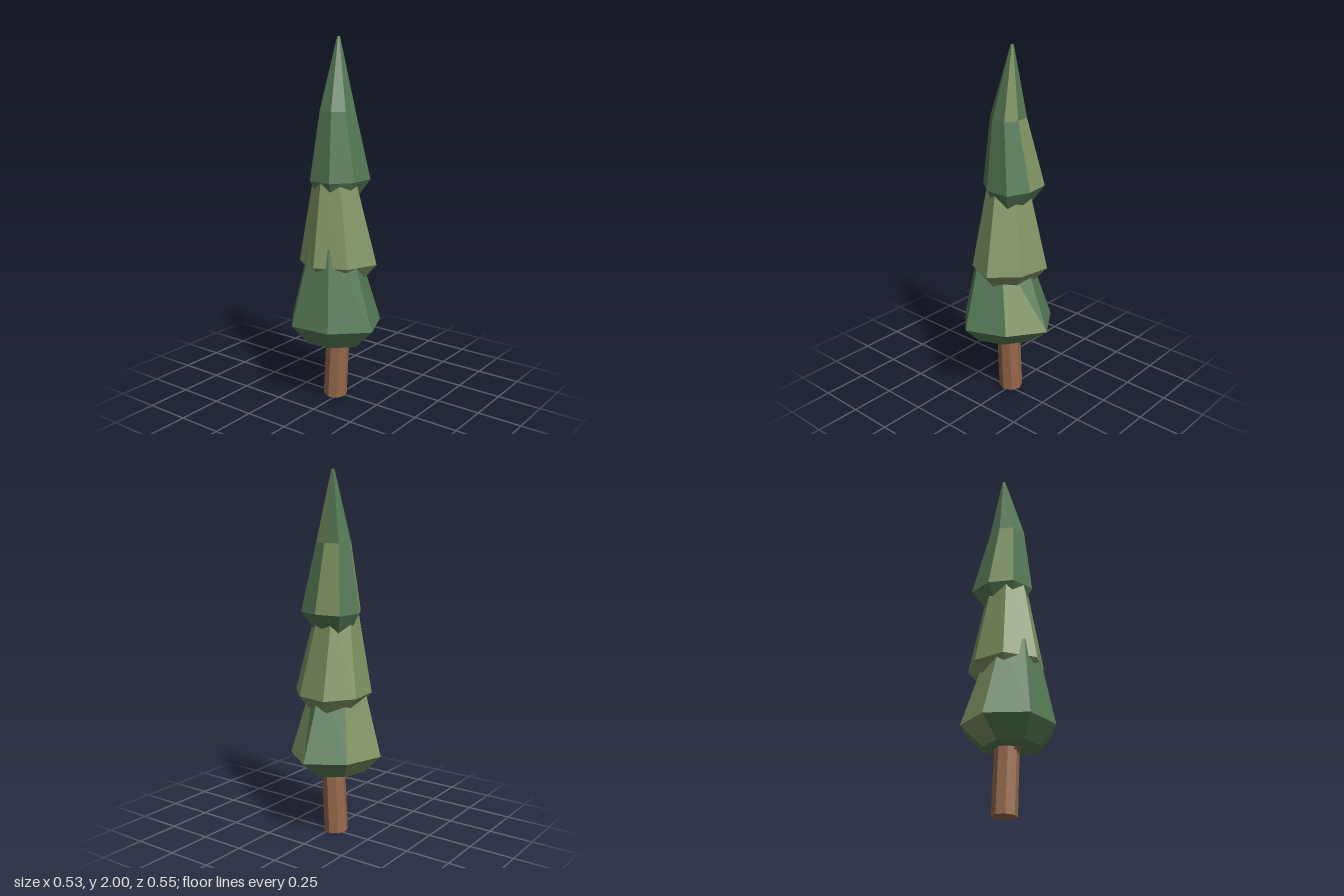
import * as THREE from 'three';

const mat = (name, color) => {
  const m = new THREE.MeshStandardMaterial({ color, flatShading: true });
  m.name = name;
  return m;
};

// Scale a base outline of [x, z] points, shift it and place it at height y
const ring = (outline, y, s = 1, dx = 0, dz = 0) =>
  outline.map(([x, z]) => new THREE.Vector3(x * s + dx, y, z * s + dz));

// Faceted foliage tier from stacked rings (bottom to top).
// accent(level, side) returns 0, 1 (lower triangle) or 2 (whole panel) in the second colour.
function tier(name, rings, materials, accent = () => 0) {
  const buckets = [[], []];
  const add = (b, ...pts) => pts.forEach((p) => buckets[b].push(p.x, p.y, p.z));
  const n = rings[0].length;
  for (let k = 0; k < rings.length - 1; k++) {
    for (let i = 0; i < n; i++) {
      const j = (i + 1) % n;
      const lo = rings[k], up = rings[k + 1];
      const a = accent(k, i);
      add(a > 0 ? 1 : 0, lo[j], lo[i], up[j]);
      add(a > 1 ? 1 : 0, up[j], lo[i], up[i]);
    }
  }
  // Closing caps
  const bottom = rings[0], top = rings[rings.length - 1];
  for (let i = 1; i < n - 1; i++) {
    add(0, bottom[0], bottom[i], bottom[i + 1]);
    add(0, top[0], top[i + 1], top[i]);
  }
  const geo = new THREE.BufferGeometry();
  geo.setAttribute('position', new THREE.Float32BufferAttribute([...buckets[0], ...buckets[1]], 3));
  geo.addGroup(0, buckets[0].length / 3, 0);
  geo.addGroup(buckets[0].length / 3, buckets[1].length / 3, 1);
  geo.computeVertexNormals();
  const mesh = new THREE.Mesh(geo, materials);
  mesh.name = name;
  return mesh;
}

export function createModel() {
  const green = mat('pineGreen', 0x557a55);
  const olive = mat('oliveGreen', 0x7f9362);
  const bark = mat('barkBrown', 0x96684a);
  const tree = new THREE.Group();
  tree.name = 'tree';

  // Trunk, leaning slightly forward towards the top
  const trunkGeo = new THREE.CylinderGeometry(0.065, 0.067, 0.6, 8).translate(-0.013, 0.305, -0.028);
  const p = trunkGeo.attributes.position;
  for (let i = 0; i < p.count; i++) {
    const z = p.getZ(i), y = p.getY(i);
    p.setXYZ(i, p.getX(i), y < 0.1 ? Math.max(0, y - z * 0.05 - 0.005) : y, z + y * 0.055);
  }
  trunkGeo.computeVertexNormals();
  const trunk = new THREE.Mesh(trunkGeo, bark);
  trunk.name = 'trunk';
  tree.add(trunk);

  // Short branch stub just under the foliage
  const stub = new THREE.Mesh(new THREE.CylinderGeometry(0.025, 0.03, 0.14, 5), bark);
  stub.name = 'branchStub';
  stub.position.set(-0.085, 0.37, 0);
  stub.rotation.z = 0.8;
  tree.add(stub);

  // Outlines run clockwise seen from above, starting at the back
  const low = [[-0.085, -0.275], [0.135, -0.205], [0.265, -0.01], [0.13, 0.18], [-0.085, 0.272], [-0.25, 0.1], [-0.27, -0.13]];
  const mid = [[-0.135, -0.18], [0.045, -0.198], [0.195, -0.09], [0.165, 0.09], [0.03, 0.22], [-0.14, 0.15], [-0.225, -0.015]];
  const high = [[-0.02, -0.17], [0.125, -0.145], [0.145, 0], [0.095, 0.13], [-0.05, 0.125], [-0.155, 0.04], [-0.14, -0.1]];

  tree.add(tier('lowerFoliage', [
    ring(low, 0.35, 0.6, -0.03),
    ring(low, 0.46),
    ring(low, 0.9, 0.52, -0.045),
  ], [green, olive], (k, i) => (i === 0 ? 2 : k === 1 && i === 2 ? 1 : 0)));

  tree.add(tier('middleFoliage', [
    ring(mid, 0.69, 0.58, -0.01),
    ring(mid, 0.8),
    ring(mid, 1.28, 0.52, -0.025, -0.015),
  ], [olive, olive]));

  tree.add(tier('upperFoliage', [
    ring(high, 1.13, 0.55, -0.01, -0.01),
    ring(high, 1.25),
    ring(high, 1.62, 0.58, -0.025),
    ring(high, 2, 0.05, 0.003, -0.015),
  ], [green, olive], (k, i) => ((k === 1 && (i === 1 || i === 6)) || (k === 2 && i === 2) ? 2 : 0)));

  return tree;
}
